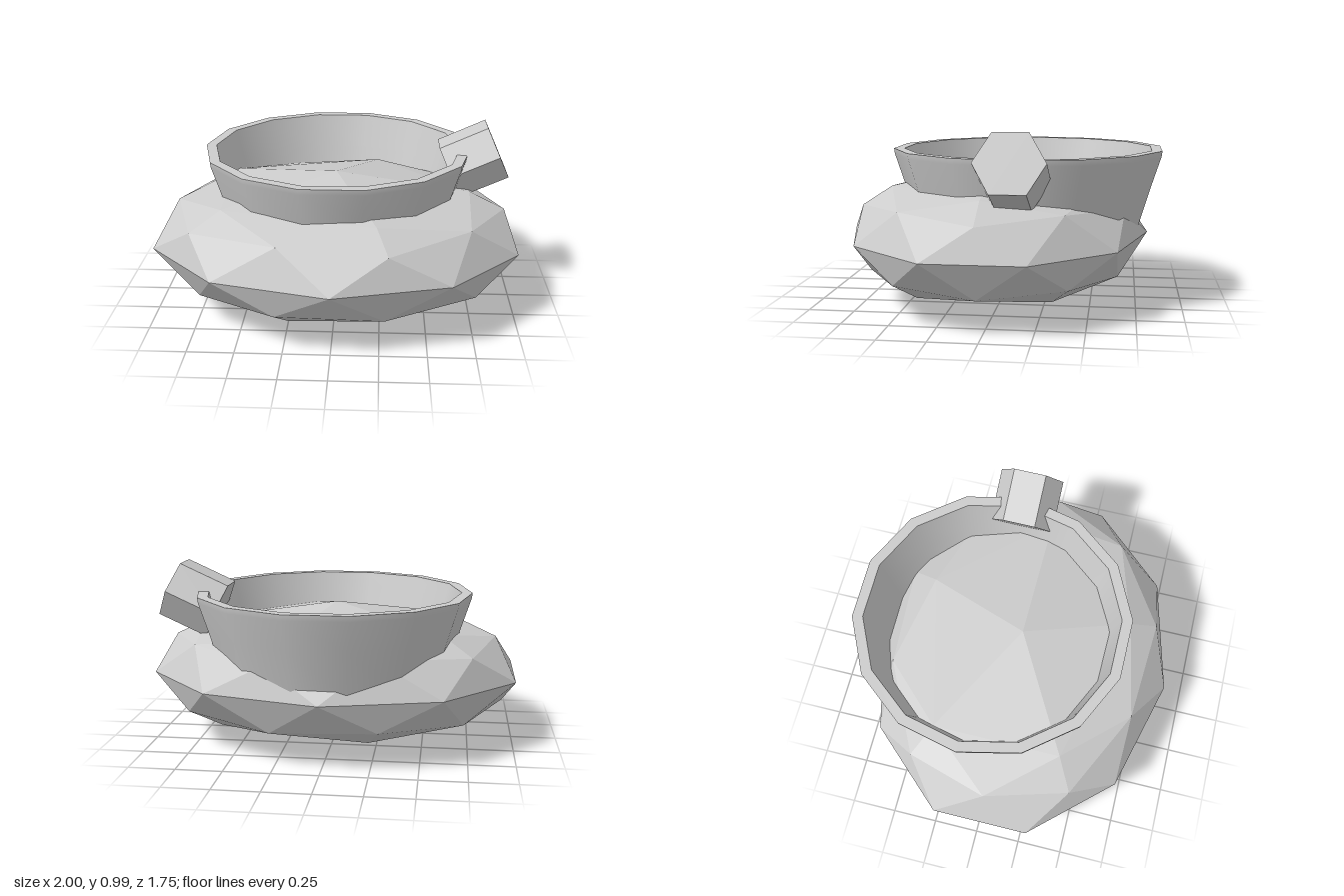
import * as THREE from 'three';

const grey = new THREE.MeshStandardMaterial({ color: 0xcccccc });
grey.name = 'plain grey';

function addPart(group, name, geometry) {
  const mesh = new THREE.Mesh(geometry, grey);
  mesh.name = name;
  group.add(mesh);
  return mesh;
}

function faceted(geometry) {
  const flat = geometry.index ? geometry.toNonIndexed() : geometry;
  flat.computeVertexNormals();
  return flat;
}

// Pole-up icosahedron, subdivided once and squashed
function stoneGeometry() {
  const points = [0, 1, 0];
  const ring = (y, offset) => {
    for (let i = 0; i < 5; i++) {
      const a = (i * 72 + offset) * Math.PI / 180;
      points.push(2 * Math.cos(a), y, -2 * Math.sin(a));
    }
  };
  ring(1, 0);
  ring(-1, 36);
  points.push(0, -1, 0);
  const faces = [];
  for (let i = 0; i < 5; i++) {
    const j = (i + 1) % 5;
    const u = 1 + i, v = 1 + j, l = 6 + i, m = 6 + j;
    faces.push(0, u, v, u, l, v, v, l, m, l, 11, m);
  }
  const geometry = new THREE.PolyhedronGeometry(points, faces, 1, 1);
  geometry.scale(1.052, 0.38, 0.84);
  return faceted(geometry);
}

export function createModel() {
  const model = new THREE.Group();
  model.name = 'stoneWithBand';

  addPart(model, 'stone', stoneGeometry()).position.set(0, 0.38, 0.03);

  // Flared band: outer wall, flat rim and inner wall, with sharp edges between
  const band = new THREE.Group();
  band.name = 'band';
  band.position.z = -0.14;
  model.add(band);
  const walls = {
    bandOuterWall: [[0.627, 0.42], [0.70, 0.66], [0.752, 0.82], [0.756, 0.85]],
    bandRim: [[0.756, 0.85], [0.698, 0.85]],
    bandInnerWall: [[0.698, 0.85], [0.69, 0.82], [0.645, 0.66], [0.578, 0.42]],
  };
  for (const [name, profile] of Object.entries(walls)) {
    const points = profile.map(([r, y]) => new THREE.Vector2(r, y));
    addPart(band, name, new THREE.LatheGeometry(points, 14, Math.PI / 2));
  }

  // Tilted hexagonal peg through the band
  const peg = addPart(model, 'hexPeg', faceted(new THREE.CylinderGeometry(0.18, 0.18, 0.29, 6)));
  peg.position.set(0.77, 0.793, -0.135);
  peg.rotation.z = -65.6 * Math.PI / 180;

  return model;
}
